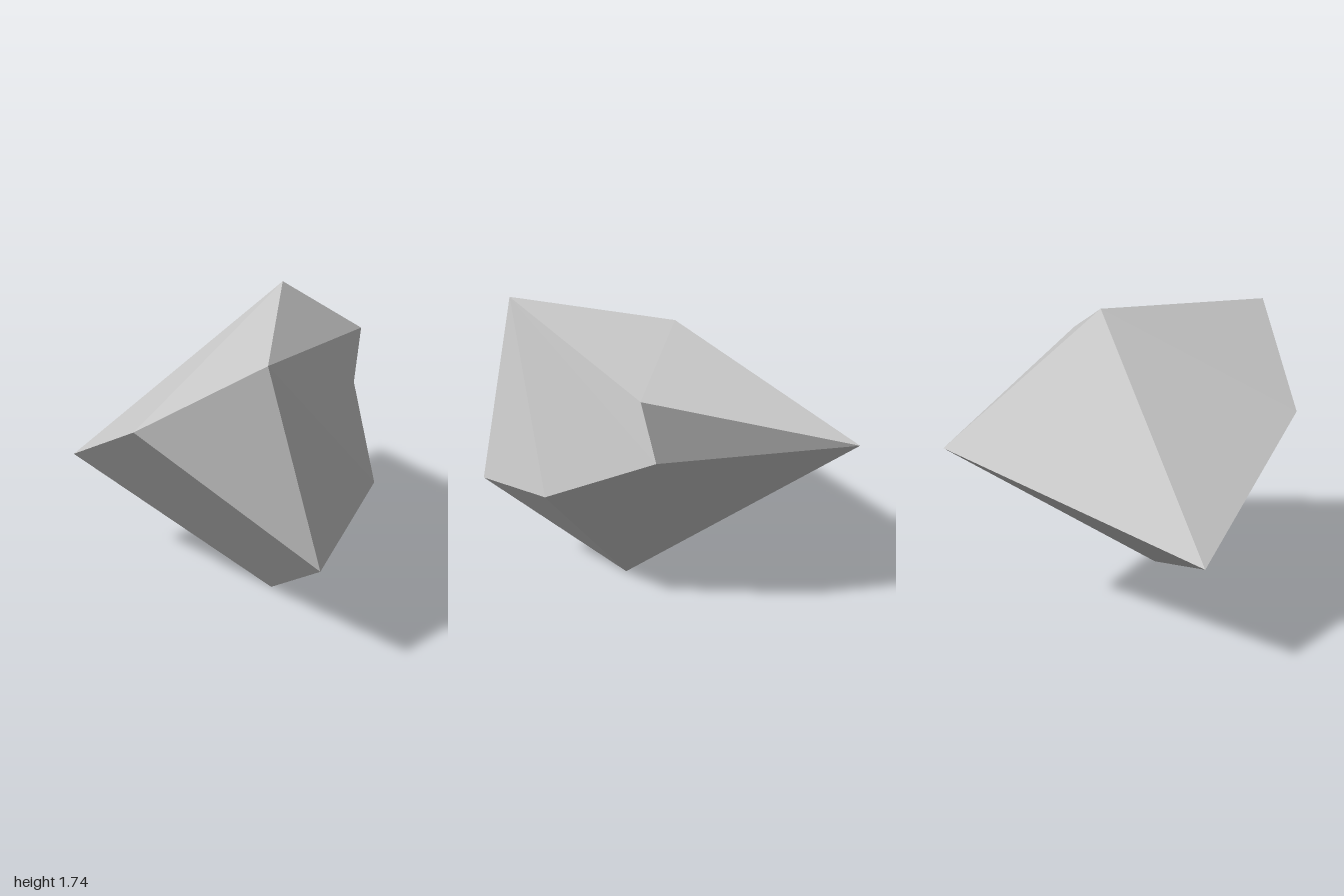
import * as THREE from 'three';

// Corners of the faceted rock
const corners = {
  A: [-0.03, 1.13, -1.0],    // back tip
  B: [-0.87, 0.7, 0.23],     // side tip
  C: [-0.27, 1.25, 0.92],    // front shoulder
  D: [0.395, 1.675, 0.935],  // front peak
  E: [0.275, 1.735, -0.06],  // summit
  F: [0.7, 1.48, -0.13],     // upper side
  G: [0.67, 1.125, -0.195],  // side dent
  H: [0.868, 0.825, 0.39],   // widest side
  I: [0.685, 0.637, 1.0],    // front foot
  J: [0.31, 0, 0.285],       // bottom tip
};

// Facets, each counter-clockwise from outside
const facets = [
  'BJIC', 'IDC',        // front
  'CDE', 'BCE', 'BEA',  // top slope
  'EDFA',               // crest
  'DHGF', 'DIH', 'AFG', // side
  'JHI', 'GHJA', 'JBA', // underside
];

export function createModel() {
  const grey = new THREE.MeshStandardMaterial({ color: 0xc6c6c6 });
  grey.name = 'stone grey';

  // Split each facet into a fan; the whole facet shares one average normal
  const positions = [];
  const normals = [];
  for (const facet of facets) {
    const [hub, ...rim] = [...facet].map((k) => new THREE.Vector3(...corners[k]));
    const normal = new THREE.Vector3();
    for (let i = 0; i < rim.length - 1; i++) {
      positions.push(...hub, ...rim[i], ...rim[i + 1]);
      normal.add(rim[i].clone().sub(hub).cross(rim[i + 1].clone().sub(hub)));
    }
    normal.normalize();
    for (let i = 0; i < 3 * (rim.length - 1); i++) normals.push(...normal);
  }
  const geometry = new THREE.BufferGeometry();
  geometry.setAttribute('position', new THREE.Float32BufferAttribute(positions, 3));
  geometry.setAttribute('normal', new THREE.Float32BufferAttribute(normals, 3));

  const rock = new THREE.Mesh(geometry, grey);
  rock.name = 'rock';
  const model = new THREE.Group();
  model.name = 'facetedRock';
  model.add(rock);
  return model;
}
